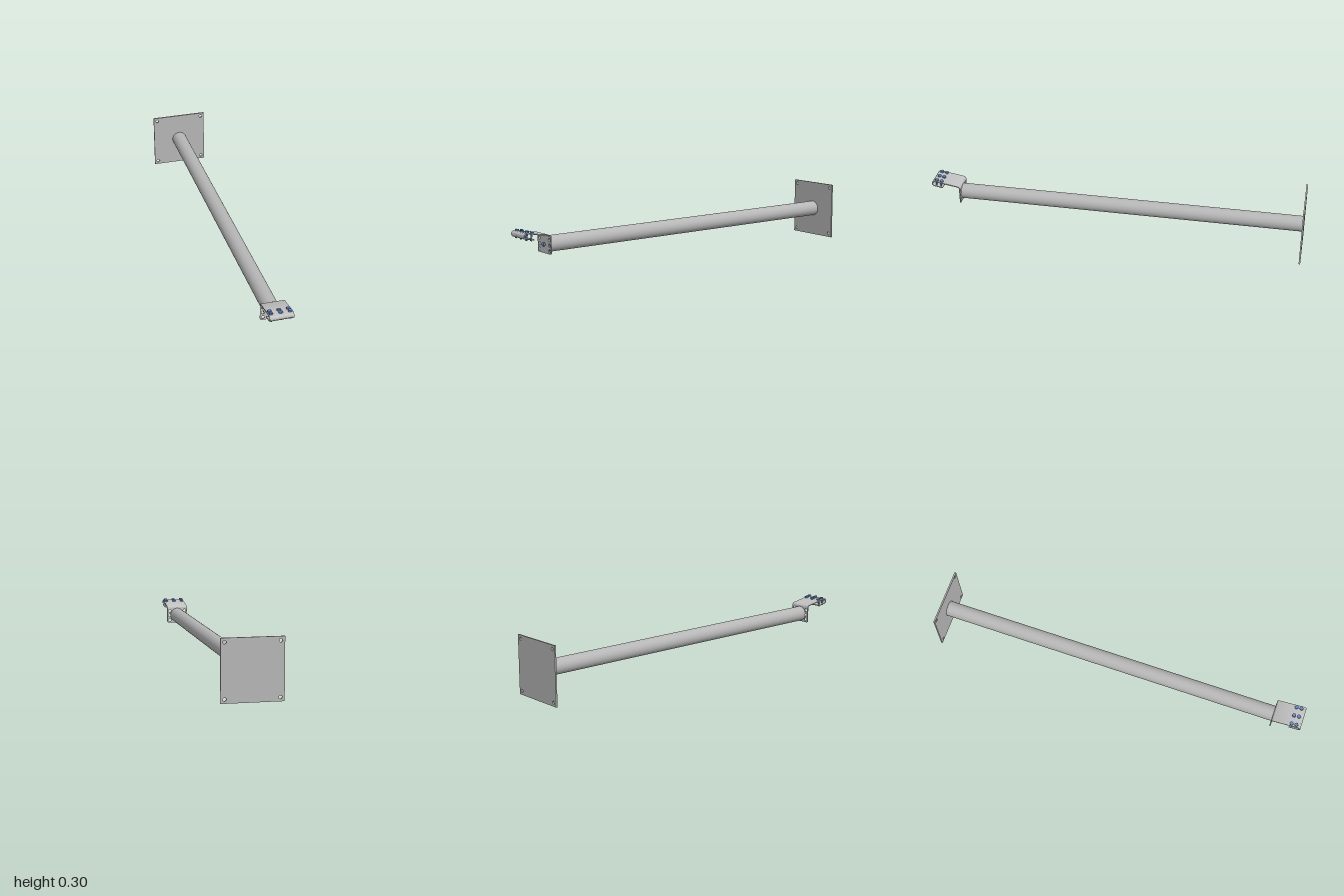
import * as THREE from 'three';
import { toCreasedNormals } from 'three/addons/utils/BufferGeometryUtils.js';

export function createModel() {
  const model = new THREE.Group();
  model.name = 'wallArm';
  const mat = (name, color) => new THREE.MeshStandardMaterial({ name, color });
  const steel = mat('steel grey', 0xb6b6b6);
  const bracketSteel = mat('light steel', 0xc2c2c2);
  const boltBlue = mat('bolt blue', 0x6a92cc);

  const add = (parent, name, geometry, material, x = 0, y = 0, z = 0) => {
    const mesh = new THREE.Mesh(geometry, material);
    mesh.name = name;
    mesh.position.set(x, y, z);
    parent.add(mesh);
    return mesh;
  };
  const drill = (shape, x, y, r) => {
    shape.holes.push(new THREE.Path().absarc(x, y, r, 0, Math.PI * 2, true));
  };
  const extrude = (shape, depth) =>
    new THREE.ExtrudeGeometry(shape, { depth, bevelEnabled: false, curveSegments: 12 });

  // Square wall plate with a hole in each corner
  const S = 0.152;
  const wall = new THREE.Shape();
  wall.moveTo(-S, 0).lineTo(S, 0).lineTo(S, 2 * S).lineTo(-S, 2 * S).closePath();
  for (const x of [-0.132, 0.132]) for (const y of [0.02, 0.284]) drill(wall, x, y, 0.0085);
  add(model, 'wallPlate', toCreasedNormals(extrude(wall, 0.008), 0.6), steel, 0, 0, -1);

  // Long round arm
  const arm = new THREE.CylinderGeometry(0.041, 0.041, 1.835, 48).rotateX(Math.PI / 2);
  add(model, 'arm', arm, steel, 0, 0.153, -0.992 + 1.835 / 2);

  const bracket = new THREE.Group();
  bracket.name = 'bracket';
  model.add(bracket);

  // Upright bracket plate with rounded lower corners and two rows of holes
  const W = 0.06, T = 0.005, R = 0.008, low = 0.108, high = 0.192;
  const face = new THREE.Shape();
  face.moveTo(-W, high).lineTo(-W, low + R);
  face.absarc(-W + R, low + R, R, Math.PI, Math.PI * 1.5, false);
  face.absarc(W - R, low + R, R, Math.PI * 1.5, Math.PI * 2, false);
  face.lineTo(W, high).closePath();
  for (const x of [-0.045, 0.045]) for (const y of [0.123, 0.151, 0.179]) drill(face, x, y, 0.0085);
  add(bracket, 'uprightPlate', toCreasedNormals(extrude(face, T), 0.6), bracketSteel, 0, 0, 0.843);

  // Bent tongue: centre line in (z, y), up the plate, forward, then folded under
  const tilt = 0.165, foldR = 0.013, bendR = 0.012;
  const line = [new THREE.Vector2(0.8455, high)];
  const arc = (cz, cy, r, from, to, n) => {
    for (let i = 0; i <= n; i++) {
      const a = from + (to - from) * i / n;
      line.push(new THREE.Vector2(cz + r * Math.cos(a), cy + r * Math.sin(a)));
    }
  };
  const bend = [0.8455 + bendR, 0.1935];
  arc(...bend, bendR, Math.PI, Math.PI / 2 + tilt, 8);
  const run = 0.1275;
  const foldZ = bend[0] + run * Math.cos(tilt) + (foldR - bendR) * Math.sin(tilt);
  const foldY = bend[1] + run * Math.sin(tilt) - (foldR - bendR) * Math.cos(tilt);
  arc(foldZ, foldY, foldR, Math.PI / 2 + tilt, -Math.PI / 2 + tilt, 16);
  const lip = 0.047;
  const last = line[line.length - 1];
  line.push(new THREE.Vector2(last.x - lip * Math.cos(tilt), last.y - lip * Math.sin(tilt)));
  const offset = (d) => line.map((p, i) => {
    const a = line[Math.max(i - 1, 0)], b = line[Math.min(i + 1, line.length - 1)];
    const t = b.clone().sub(a).normalize();
    return new THREE.Vector2(p.x - t.y * d, p.y + t.x * d);
  });
  const profile = new THREE.Shape([...offset(T / 2), ...offset(-T / 2).reverse()]);
  const tongue = extrude(profile, 2 * W).rotateY(-Math.PI / 2);
  add(bracket, 'foldedTongue', toCreasedNormals(tongue, 0.6), bracketSteel, W);

  // Hex bolts through the tongue, in its own tilted frame around the fold
  const bolts = new THREE.Group();
  bolts.name = 'clampBolts';
  bolts.position.set(0, foldY, foldZ);
  bolts.rotation.x = -tilt;
  bracket.add(bolts);
  const hex = (r, h) => toCreasedNormals(new THREE.CylinderGeometry(r, r, h, 6).toNonIndexed(), 0.3);
  const head = hex(0.0105, 0.008), nut = hex(0.0055, 0.006);
  const shank = new THREE.CylinderGeometry(0.0045, 0.0045, 0.032, 16);
  for (const x of [-0.047, 0, 0.047]) for (const z of [-0.034, -0.008]) {
    add(bolts, 'boltHead', head, boltBlue, x, foldR + T / 2 + 0.004, z);
    add(bolts, 'boltShank', shank, boltBlue, x, 0, z);
    add(bolts, 'boltNut', nut, boltBlue, x, -foldR - T / 2 - 0.003, z);
  }

  // Single bolt holding the bracket to the arm
  add(bracket, 'armBolt', hex(0.0105, 0.01).rotateX(Math.PI / 2), boltBlue, 0, 0.152, 0.852);

  return model;
}
